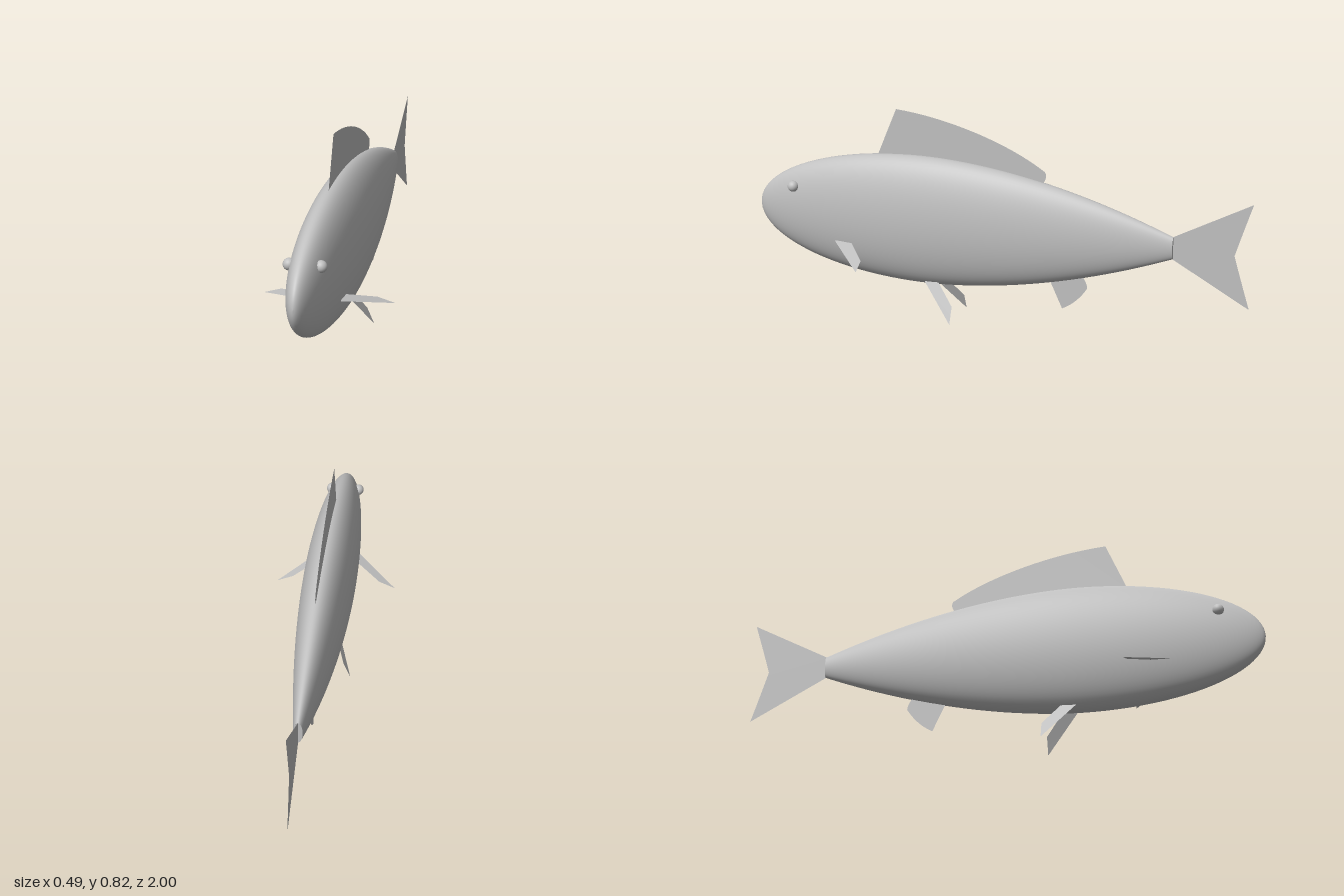
import * as THREE from 'three';

const BODY_Y = 0.39, DEPTH = 0.26, FLATTEN = 0.385;
const TAIL_Z = -0.705, TAIL_R = 0.043;

export function createModel() {
  const fish = new THREE.Group();
  fish.name = 'fish';
  const grey = new THREE.MeshStandardMaterial({ color: 0xc0c0c0, side: THREE.DoubleSide });
  grey.name = 'grey';

  const add = (name, geometry) => {
    const mesh = new THREE.Mesh(geometry, grey);
    mesh.name = name;
    fish.add(mesh);
    return mesh;
  };

  // Body: a lathe along z, flattened sideways; elliptical head, tapering rear
  const profile = [];
  for (let i = 0; i <= 24; i++) {
    const t = 1 - i / 24;
    profile.push(new THREE.Vector2(DEPTH - (DEPTH - TAIL_R) * t ** 1.85, 0.3 + (TAIL_Z - 0.3) * t));
  }
  for (let i = 1; i <= 24; i++) {
    const a = (i / 24) * Math.PI / 2;
    profile.push(new THREE.Vector2(i === 24 ? 0 : DEPTH * Math.cos(a), 0.3 + 0.7 * Math.sin(a)));
  }
  const body = new THREE.LatheGeometry(profile, 64);
  body.rotateX(Math.PI / 2).scale(FLATTEN, 1, 1).translate(0, BODY_Y - 0.002, 0);
  add('body', body);

  // Closed end of the body, where the tail fin begins
  const cap = new THREE.CircleGeometry(TAIL_R, 48);
  cap.rotateY(Math.PI).scale(FLATTEN, 1, 1).translate(0, BODY_Y - 0.002, TAIL_Z);
  add('tailStump', cap);

  // Upright fins: flat outlines drawn in (z, y)
  const uprightFin = (name, shape) => add(name, new THREE.ShapeGeometry(shape, 16).rotateY(-Math.PI / 2));

  const dorsal = new THREE.Shape();
  dorsal.moveTo(0.485, 0.635);
  dorsal.lineTo(0.405, 0.825);
  dorsal.bezierCurveTo(0.2, 0.81, -0.05, 0.735, -0.2, 0.633);
  dorsal.quadraticCurveTo(-0.212, 0.615, -0.195, 0.59);
  dorsal.lineTo(0.1, 0.6);
  uprightFin('dorsalFin', dorsal);

  const tail = new THREE.Shape();
  tail.moveTo(-0.7, 0.43);
  tail.lineTo(-1, 0.59);
  tail.quadraticCurveTo(-0.965, 0.48, -0.937, 0.385);
  tail.quadraticCurveTo(-0.965, 0.29, -1, 0.18);
  tail.lineTo(-0.7, 0.346);
  uprightFin('tailFin', tail);

  const anal = new THREE.Shape();
  anal.moveTo(-0.215, 0.22);
  anal.lineTo(-0.275, 0.09);
  anal.quadraticCurveTo(-0.335, 0.12, -0.375, 0.185);
  anal.quadraticCurveTo(-0.375, 0.205, -0.35, 0.24);
  uprightFin('analFin', anal);

  // Paired fins: thin four-cornered blades, mirrored
  const blade = (name, side, corners) => {
    const geometry = new THREE.BufferGeometry();
    const positions = corners.flatMap(([x, y, z]) => [x * side, y, z]);
    geometry.setAttribute('position', new THREE.Float32BufferAttribute(positions, 3));
    geometry.setIndex(side > 0 ? [0, 1, 2, 0, 2, 3] : [0, 2, 1, 0, 3, 2]);
    geometry.computeVertexNormals();
    add(name, geometry);
  };

  for (const [label, side] of [['left', 1], ['right', -1]]) {
    blade(label + 'PectoralFin', side,
      [[0.08, 0.287, 0.645], [0.245, 0.23, 0.483], [0.18, 0.252, 0.49], [0.078, 0.287, 0.575]]);
    blade(label + 'PelvicFin', side,
      [[0.03, 0.157, 0.292], [0.098, 0, 0.155], [0.07, 0.065, 0.155], [0.03, 0.157, 0.232]]);
    const eye = add(label + 'Eye', new THREE.SphereGeometry(0.022, 24, 16));
    eye.position.set(0.056 * side, 0.485, 0.83);
  }
  return fish;
}
